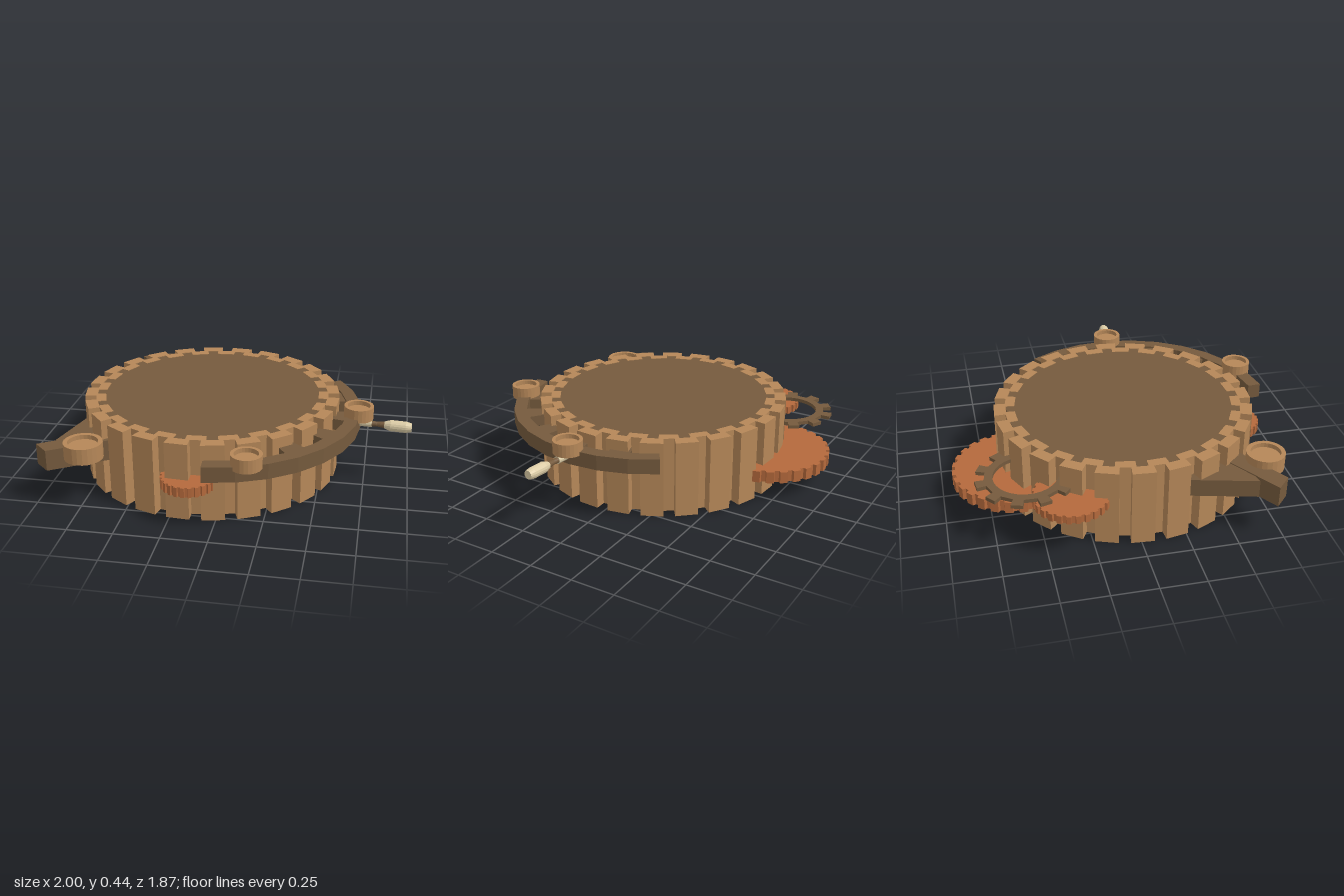
import * as THREE from 'three';

const mat = (color) => new THREE.MeshStandardMaterial({ color, flatShading: true });

// Ring of [x, z] points about a centre
const polar = (cx, cz, list) => list.map(([a, r]) => [cx + r * Math.cos(a), cz + r * Math.sin(a)]);

// Toothed outline: duty = share of each pitch taken by the tooth, taper narrows its tip
function gearOutline(cx, cz, n, rootR, tipR, duty, taper = 0, phase = 0) {
  const list = [];
  const pitch = (Math.PI * 2) / n;
  for (let i = 0; i < n; i++) {
    const a = i * pitch + phase;
    const h = (duty * pitch) / 2;
    const t = h * (1 - taper);
    list.push([a - h, rootR], [a - t, tipR], [a + t, tipR], [a + h, rootR]);
  }
  return polar(cx, cz, list);
}

// Flat plan outline of [x, z] points raised from y0 to y1; the hole runs the other way round
function slab(name, points, y0, y1, material, hole) {
  const toV = ([x, z]) => new THREE.Vector2(x, -z);
  const shape = new THREE.Shape(points.map(toV));
  if (hole) shape.holes.push(new THREE.Path(hole.map(toV).reverse()));
  const geo = new THREE.ExtrudeGeometry(shape, { depth: y1 - y0, bevelEnabled: false });
  geo.rotateX(-Math.PI / 2).translate(0, y0, 0);
  const mesh = new THREE.Mesh(geo, material);
  mesh.name = name;
  return mesh;
}

// Turned part from [radius, height] points
function turned(name, profile, sides, material) {
  const geo = new THREE.LatheGeometry(profile.map(([r, y]) => new THREE.Vector2(r, y)), sides);
  const mesh = new THREE.Mesh(geo, material);
  mesh.name = name;
  return mesh;
}

// Round cup with a shallow recess in its top
function cup(name, x, z, r, y0, y1, material) {
  const h = y1 - y0;
  const mesh = turned(name, [[0, 0], [r, 0], [r, h], [r * 0.77, h], [r * 0.77, h - 0.025], [0, h - 0.025]], 24, material);
  mesh.position.set(x, y0, z);
  return mesh;
}

export function createModel() {
  const model = new THREE.Group();
  model.name = 'gearDrum';
  const wood = mat(0xb58758);
  const dark = mat(0x755a3d);
  const copper = mat(0xb4693c);
  const cream = mat(0xdccca6);
  const cx = -0.15, cz = 0.06;

  // Drum wall: a corrugated band, open below
  const teeth = 24, phase = 0.073;
  model.add(slab('drumWall',
    gearOutline(cx, cz, teeth, 0.672, 0.736, 0.66, 0, phase), 0, 0.44, wood,
    gearOutline(cx, cz, teeth, 0.618, 0.667, 0.36, 0, phase)));

  // Lid almost level with the rim
  const lid = new THREE.Mesh(new THREE.CylinderGeometry(0.665, 0.665, 0.03, 48), dark);
  lid.position.set(cx, 0.422, cz);
  lid.name = 'lid';
  model.add(lid);

  // Copper gears poking through the wall
  model.add(slab('largeGear', gearOutline(-0.291, -0.588, 28, 0.334, 0.353, 0.68, 0.2), 0.115, 0.183, copper));
  model.add(slab('sideGear', gearOutline(-0.755, -0.35, 26, 0.196, 0.207, 0.65, 0.2), 0.24, 0.285, copper));
  model.add(slab('frontGear', gearOutline(-0.153, 0.737, 24, 0.139, 0.149, 0.65, 0.2), 0.18, 0.235, copper));

  // Open ring gear
  const hole = polar(-0.59, -0.565, Array.from({ length: 32 }, (_, i) => [(i * Math.PI) / 16, 0.174]));
  model.add(slab('ringGear', gearOutline(-0.59, -0.565, 11, 0.22, 0.27, 0.44, 0.05, -1.7), 0.295, 0.316, dark, hole));

  // Curved rack with inward teeth
  const ax = -0.1, az = 0.12;
  const rad = THREE.MathUtils.degToRad;
  const rack = new THREE.Group();
  rack.name = 'curvedRack';
  const steps = 10;
  const outer = [], inner = [];
  for (let i = 0; i <= steps; i++) {
    const a = rad(-35 + (121 * i) / steps);
    outer.push([a, 0.815]);
    inner.unshift([a, 0.74]);
  }
  rack.add(slab('rackBand', polar(ax, az, [...outer, ...inner]), 0.304, 0.39, dark));
  for (let i = 0; i < 5; i++) {
    const a = rad(-18 + 21.5 * i);
    rack.add(slab('rackTooth', polar(ax, az,
      [[a - 0.09, 0.76], [a + 0.09, 0.76], [a + 0.075, 0.64], [a - 0.075, 0.64]]), 0.315, 0.38, dark));
  }
  model.add(rack);
  model.add(cup('rackKnobSide', 0.702, 0.15, 0.083, 0.37, 0.445, wood));
  model.add(cup('rackKnobFront', 0.175, 0.85, 0.083, 0.37, 0.445, wood));

  // Bracket: straight arm through the wall, triangular web and cup
  model.add(slab('bracketArm', [[-1, 0.695], [-0.92, 0.77], [-0.62, 0.585], [-0.52, 0.5], [-0.57, 0.42], [-0.68, 0.49]], 0.212, 0.33, dark));
  model.add(slab('bracketWeb', [[-0.825, 0.25], [-0.915, 0.62], [-0.62, 0.55], [-0.58, 0.45], [-0.74, 0.19]], 0.225, 0.325, dark));
  model.add(cup('bracketCup', -0.727, 0.715, 0.106, 0.285, 0.376, wood));

  // Crank handle: ferrule, neck and grip turned about one axis
  const handle = new THREE.Group();
  handle.name = 'crankHandle';
  handle.add(
    turned('ferrule', [[0, -0.02], [0.021, -0.02], [0.021, 0.06], [0, 0.06]], 16, cream),
    turned('neck', [[0, 0.05], [0.017, 0.05], [0.014, 0.09], [0.02, 0.14], [0, 0.14]], 16, dark),
    turned('grip', [[0, 0.13], [0.02, 0.13], [0.032, 0.165], [0.032, 0.25], [0.025, 0.28], [0, 0.28]], 16, cream));
  handle.position.set(0.72, 0.347, 0.16);
  handle.quaternion.setFromUnitVectors(new THREE.Vector3(0, 1, 0), new THREE.Vector3(0.28, 0, 0.03).normalize());
  model.add(handle);

  return model;
}
